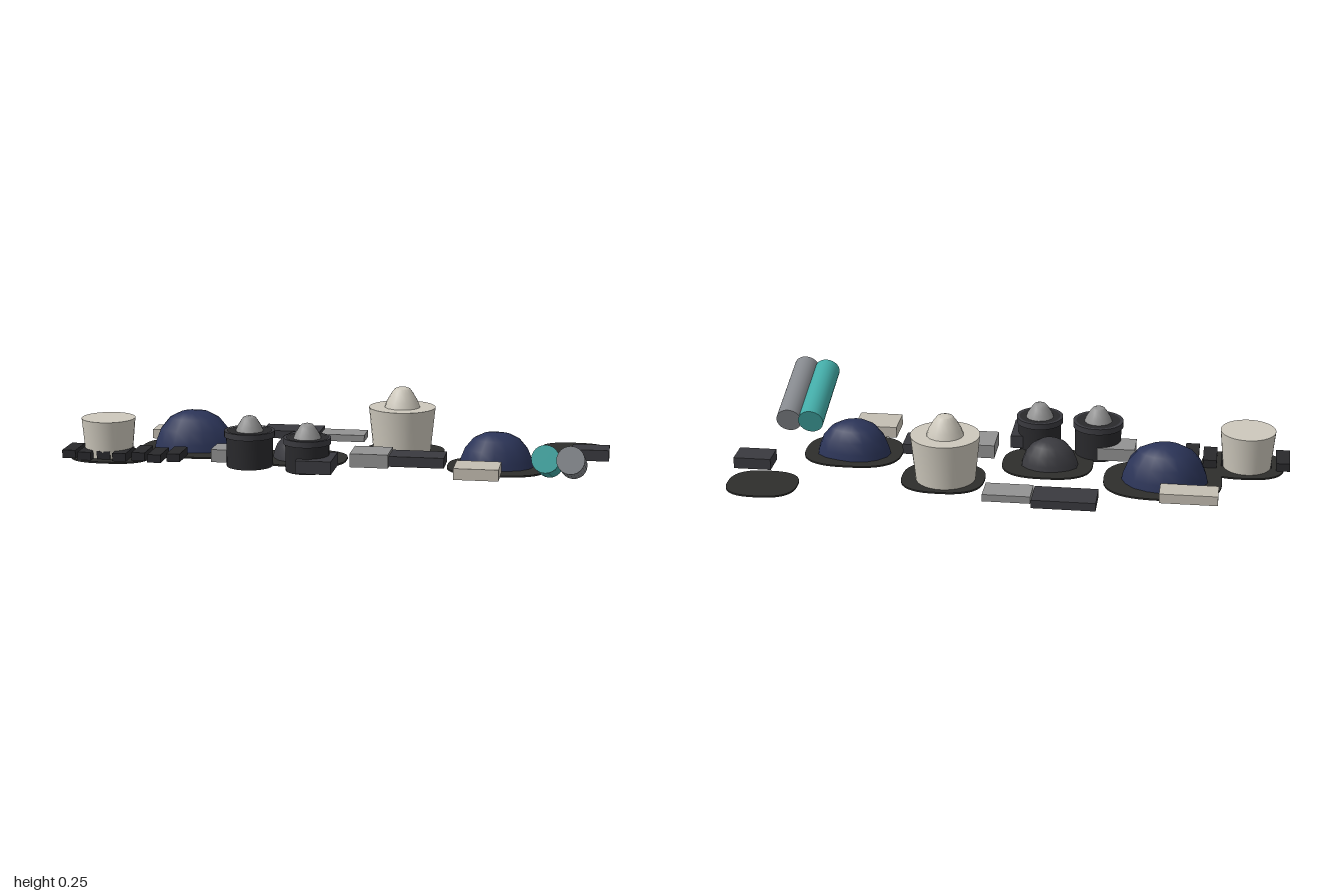
import * as THREE from 'three';
import { toCreasedNormals } from 'three/addons/utils/BufferGeometryUtils.js';

const COLORS = {
  cream: 0xcdc8bc, beige: 0xc4beb2, grey: 0x929292, charcoal: 0x3a3a3f,
  black: 0x29292c, mat: 0x2e2e2c, navy: 0x2b3458, teal: 0x42aaa6, steel: 0x85888d,
};
const materials = {};
for (const key in COLORS) materials[key] = new THREE.MeshStandardMaterial({ color: COLORS[key] });

export function createModel() {
  const root = new THREE.Group();

  const add = (name, geometry, color, x, y, z, parent = root) => {
    const mesh = new THREE.Mesh(geometry, materials[color]);
    mesh.name = name;
    mesh.position.set(x, y, z);
    parent.add(mesh);
    return mesh;
  };

  const lathe = (points, sides, crease = 0.6) => toCreasedNormals(
    new THREE.LatheGeometry(points.map(([r, y]) => new THREE.Vector2(r, y)), sides), crease);

  // Thin mats with a squarish rounded outline
  const addMat = (x, z, rx, rz) => {
    const outline = [];
    for (let i = 0; i < 48; i++) {
      const a = (i / 48) * Math.PI * 2, c = Math.cos(a), s = Math.sin(a);
      outline.push(new THREE.Vector2(
        rx * Math.sign(c) * Math.abs(c) ** 0.76,
        rz * Math.sign(s) * Math.abs(s) ** 0.76));
    }
    const geo = new THREE.ExtrudeGeometry(new THREE.Shape(outline), { depth: 0.006, bevelEnabled: false });
    geo.rotateX(-Math.PI / 2);
    add('mat', geo, 'mat', x, 0.001, z);
  };
  [
    [-0.83, 0.023, 0.15, 0.123], [-0.548, -0.15, 0.212, 0.167], [-0.123, -0.048, 0.166, 0.137],
    [0.235, -0.222, 0.15, 0.133], [0.6, -0.021, 0.181, 0.147], [0.867, -0.353, 0.127, 0.11],
  ].forEach((m) => addMat(...m));

  // Lumpy mounds: a squashed dome with a gentle ripple around its side
  const addMound = (x, z, rx, h, rz, color, phase) => {
    const profile = [[1, 0], [0.96, 0.22], [0.84, 0.54], [0.62, 0.82], [0.34, 0.97], [0, 1]];
    const geo = new THREE.LatheGeometry(profile.map(([r, y]) => new THREE.Vector2(r, y)), 16);
    const p = geo.attributes.position;
    for (let i = 0; i < p.count; i++) {
      const a = Math.atan2(p.getZ(i), p.getX(i));
      const k = 0.99 + 0.035 * Math.sin(3 * a + phase) + 0.02 * Math.sin(5 * a - phase);
      p.setXYZ(i, p.getX(i) * k * rx, p.getY(i) * h, p.getZ(i) * k * rz);
    }
    add('mound', toCreasedNormals(geo, 0.7), color, x, 0.002, z);
  };
  addMound(-0.556, -0.157, 0.157, 0.147, 0.113, 'navy', 0.6);
  addMound(0.595, -0.032, 0.138, 0.128, 0.1, 'navy', 2.0);
  addMound(-0.131, -0.05, 0.105, 0.1, 0.09, 'charcoal', 3.4);

  // Cup: plain tapered bowl
  add('cup', lathe([[0, 0], [0.086, 0], [0.1, 0.147], [0, 0.147]], 32), 'cream', -0.845, 0, 0.015);

  // Pots with a pointed rounded lid
  const addPot = (name, x, z, rBase, rTop, h, rLid, hLid, bodyColor, lidColor) => {
    const pot = new THREE.Group();
    pot.name = name;
    pot.position.set(x, 0, z);
    root.add(pot);
    add('potBody', lathe([[0, 0], [rBase, 0], [rTop, h], [0, h]], 32), bodyColor, 0, 0, 0, pot);
    const lid = [[1, 0], [0.88, 0.3], [0.6, 0.72], [0.42, 0.93], [0.2, 1], [0, 1]];
    add('potLid', lathe(lid.map(([r, y]) => [r * rLid, y * hLid]), 16), lidColor, 0, h, 0, pot);
    return pot;
  };
  addPot('largePot', 0.226, -0.224, 0.107, 0.125, 0.175, 0.067, 0.075, 'cream', 'cream');
  [[-0.296, 0.08, 0.09, 0.13, 0.055], [-0.075, 0.121, 0.084, 0.12, 0.053]].forEach(([x, z, r, h, hl]) => {
    const pot = addPot('smallPot', x, z, r * 0.94, r * 0.95, h, 0.051, hl, 'black', 'grey');
    // Thin rim around the mouth
    add('potRim', lathe([[r * 0.9, 0], [r * 1.03, 0], [r * 1.03, 0.022], [r * 0.9, 0.022]], 32),
      'charcoal', 0, h - 0.02, 0, pot);
  });

  // Leaning rolls
  [[0.797, 0.1, 0.277, 0.33, 'teal'], [0.882, 0.101, 0.288, 0.342, 'steel']].forEach(([x, y, z, len, color]) => {
    const roll = add('roll', new THREE.CylinderGeometry(0.048, 0.048, len, 24), color, x, y, z);
    roll.rotation.x = Math.PI / 2 - 0.278;
  });

  // Loose blocks: x range, z range, y range
  [
    [-0.75, -0.545, -0.355, -0.265, 0.01, 0.045, 'beige'],
    [-0.333, -0.108, -0.455, -0.334, 0.012, 0.042, 'charcoal'],
    [-0.102, 0.068, -0.42, -0.318, 0.012, 0.038, 'grey'],
    [0.075, 0.215, -0.04, 0.094, 0.01, 0.06, 'grey'],
    [0.195, 0.415, -0.042, 0.071, 0.012, 0.05, 'charcoal'],
    [0.465, 0.625, 0.104, 0.235, 0.012, 0.053, 'beige'],
    [0.864, 1.0, -0.243, -0.147, 0.01, 0.051, 'charcoal'],
    [-0.1, 0.028, 0.067, 0.227, 0.01, 0.058, 'charcoal'],
    [-0.438, -0.3, -0.01, 0.095, 0.01, 0.057, 'grey'],
  ].forEach(([x0, x1, z0, z1, y0, y1, color]) => add('block',
    new THREE.BoxGeometry(x1 - x0, y1 - y0, z1 - z0), color, (x0 + x1) / 2, (y0 + y1) / 2, (z0 + z1) / 2));

  // Staggered row of small bars
  for (let i = 0; i < 7; i++) {
    add('bar', new THREE.BoxGeometry(0.05, 0.03, 0.126), 'black', -0.975 + i * 0.066, 0.022, i % 2 ? 0.065 : 0.041);
  }

  return root;
}
